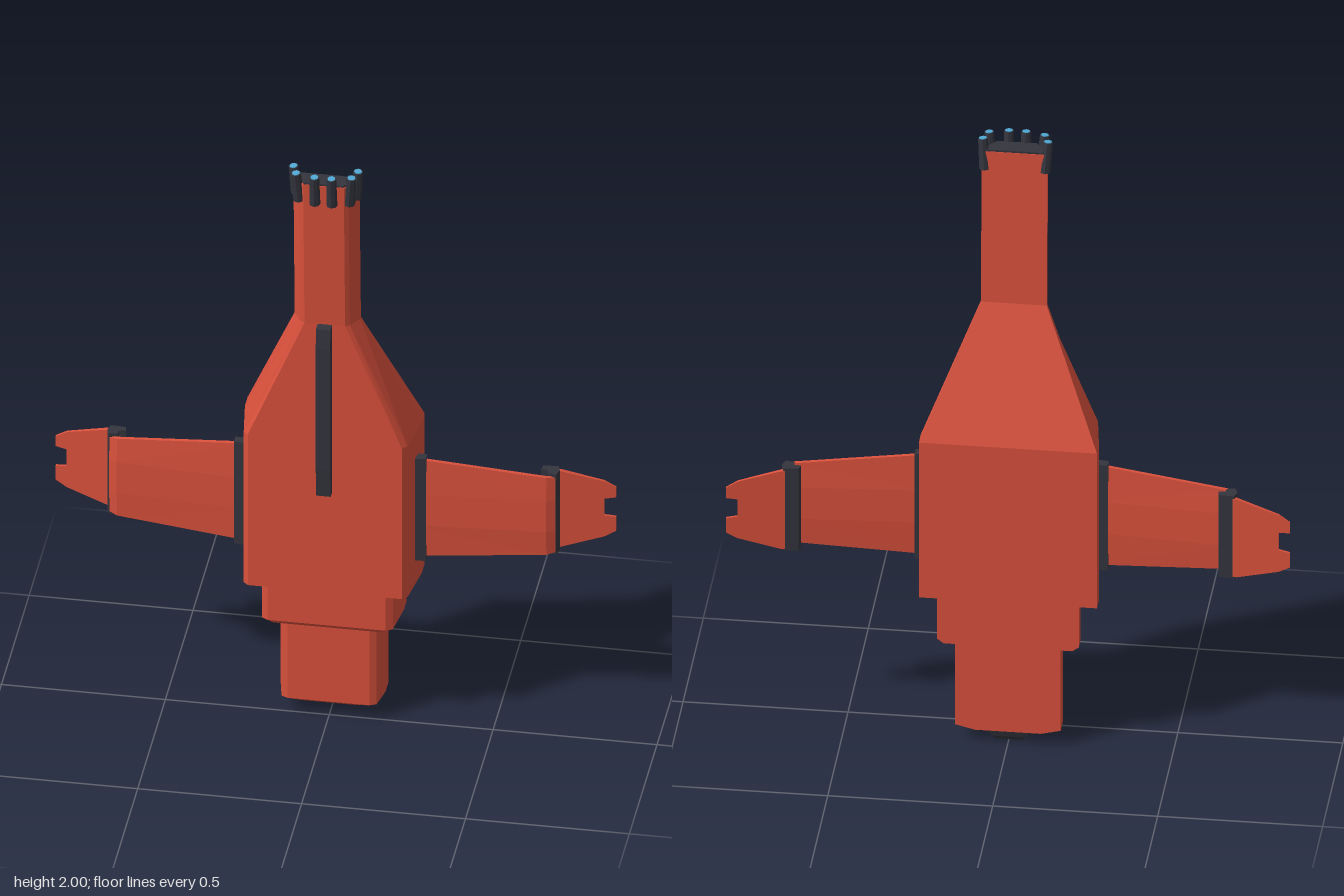
import * as THREE from 'three';

const paint = (color) => new THREE.MeshStandardMaterial({ color, flatShading: true });
const red = paint(0xdb513c), dark = paint(0x34353e), blue = paint(0x4fa8d4);

// Skin a row of convex rings (clockwise seen from the far end) and cap both ends.
function loft(rings) {
  const pos = [], n = rings[0].length;
  const tri = (a, b, c) => pos.push(...a, ...b, ...c);
  for (let r = 0; r < rings.length - 1; r++) {
    const A = rings[r], B = rings[r + 1];
    for (let i = 0; i < n; i++) {
      const j = (i + 1) % n;
      tri(A[i], B[i], A[j]);
      tri(A[j], B[i], B[j]);
    }
  }
  const first = rings[0], last = rings[rings.length - 1];
  for (let i = 1; i < n - 1; i++) {
    tri(first[0], first[i], first[i + 1]);
    tri(last[0], last[i + 1], last[i]);
  }
  return finish(pos);
}

function finish(pos) {
  const g = new THREE.BufferGeometry();
  g.setAttribute('position', new THREE.Float32BufferAttribute(pos, 3));
  g.computeVertexNormals();
  return g;
}

// Horizontal ring from its +x half, listed back to front as [x, z].
const ring = (y, half) => [
  ...half.map(([x, z]) => [x, y, z]),
  ...half.slice().reverse().map(([x, z]) => [-x, y, z]),
];

// Copy of a geometry mirrored in x, with its winding turned back outwards.
function mirrored(geometry) {
  const g = geometry.index ? geometry.toNonIndexed() : geometry;
  const p = g.attributes.position, out = [];
  for (let i = 0; i < p.count; i += 3)
    for (const k of [i, i + 2, i + 1]) out.push(-p.getX(k), p.getY(k), p.getZ(k));
  return finish(out);
}

function outline(points) {
  return new THREE.Shape(points.map(([x, y]) => new THREE.Vector2(x, y)));
}

export function createModel() {
  const model = new THREE.Group();
  model.name = 'spacecraft';
  const add = (name, geometry, material, parent = model) => {
    const mesh = new THREE.Mesh(geometry, material);
    mesh.name = name;
    parent.add(mesh);
    return mesh;
  };
  const pair = (name, geometry, material) => {
    add('left' + name, geometry, material);
    add('right' + name, mirrored(geometry), material);
  };

  // Main hull, tapering into the forward leaning neck
  const hull = [[0.27, -0.125], [0.27, -0.075], [0.25, 0.065], [0.235, 0.08]];
  add('hull', loft([
    ring(0.49, hull),
    ring(1.03, hull),
    ring(1.45, [[0.1, 0.02], [0.1, 0.032], [0.075, 0.072], [0.062, 0.08]]),
    ring(1.96, [[0.1, 0.045], [0.1, 0.055], [0.075, 0.096], [0.062, 0.104]]),
  ]), red);
  add('neckCap', loft([
    ring(1.96, [[0.095, 0.047], [0.095, 0.056], [0.06, 0.102]]),
    ring(1.966, [[0.095, 0.047], [0.095, 0.056], [0.06, 0.102]]),
  ]), dark);

  // Two stepped tail sections
  add('upperTail', loft([
    ring(0.335, [[0.195, -0.125], [0.195, -0.08], [0.185, 0.02], [0.165, 0.035]]),
    ring(0.35, [[0.215, -0.125], [0.215, -0.08], [0.2, 0.035], [0.18, 0.047]]),
    ring(0.5, [[0.215, -0.125], [0.215, -0.08], [0.2, 0.035], [0.18, 0.047]]),
  ]), red);
  const tail = [[0.16, -0.125], [0.16, -0.07], [0.145, 0.004], [0.125, 0.013]];
  add('lowerTail', loft([
    ring(0.04, [[0.1, -0.125], [0.1, -0.07], [0.095, -0.01], [0.085, -0.005]]),
    ring(0.055, tail),
    ring(0.345, tail),
  ]), red);
  add('tailNozzle', loft([
    ring(0, [[0.04, -0.1], [0.04, -0.065]]),
    ring(0.015, [[0.05, -0.11], [0.05, -0.05]]),
    ring(0.055, [[0.085, -0.122], [0.085, -0.03]]),
  ]), dark);

  // Dorsal fin along the front face
  const finShape = outline([[0.07, 0.85], [0.105, 0.85], [0.115, 0.95], [0.115, 1.38],
    [0.11, 1.45], [0.07, 1.45]]);
  const fin = new THREE.ExtrudeGeometry(finShape, { depth: 0.044, bevelEnabled: false });
  fin.rotateY(-Math.PI / 2).translate(0.022, 0, 0);
  add('dorsalFin', fin, dark);

  // Inner wings: thin plates with a raised band along the front
  const wingRing = (x, bottom, top, z, t) => [
    [x, top, z + t * 0.5], [x, top, z - t * 0.5],
    [x, 0.81, z - t], [x, 0.7, z - t],
    [x, bottom, z - t * 0.5], [x, bottom, z + t * 0.5],
    [x, 0.7, z + t], [x, 0.81, z + t],
  ];
  pair('InnerWing', loft([
    wingRing(0.24, 0.585, 0.935, -0.022, 0.012),
    wingRing(0.655, 0.615, 0.89, -0.05, 0.012),
    wingRing(0.68, 0.62, 0.885, -0.062, 0.012),
  ]), red);

  // Dark wing roots and joints, upright prisms drawn in plan
  const upright = (plan, bottom, top) => {
    const g = new THREE.ExtrudeGeometry(outline(plan.map(([x, z]) => [x, -z])),
      { depth: top - bottom, bevelEnabled: false });
    return g.rotateX(-Math.PI / 2).translate(0, bottom, 0);
  };
  pair('WingRoot', upright([[0.24, -0.038], [0.293, -0.04], [0.293, -0.012], [0.24, -0.006]],
    0.575, 0.94), dark);
  pair('WingJoint', upright([[0.633, -0.08], [0.637, -0.1], [0.683, -0.104], [0.69, -0.08],
    [0.682, -0.056], [0.655, -0.062], [0.655, -0.078]], 0.612, 0.898), dark);

  // Outer wings: notched tips, swept back by shearing z along x
  const tip = new THREE.ExtrudeGeometry(outline([
    [0.65, 0.62], [0.69, 0.617], [0.82, 0.655], [0.855, 0.675], [0.855, 0.725], [0.82, 0.73],
    [0.82, 0.79], [0.855, 0.795], [0.855, 0.83], [0.82, 0.852], [0.69, 0.888], [0.65, 0.89],
  ]), { depth: 0.014, bevelEnabled: false });
  const p = tip.attributes.position;
  for (let i = 0; i < p.count; i++) {
    const s = (p.getX(i) - 0.65) / 0.205;
    p.setZ(i, -0.1 - 0.026 * s + p.getZ(i) * (1 - 0.45 * s));
  }
  tip.computeVertexNormals();
  pair('OuterWing', tip, red);

  // Six small barrels round the end of the neck, with glowing tips
  for (const side of [-1, 1]) {
    for (const [x, z, lean] of [[0.097, 0.06, 0.07], [0.083, 0.099, 0.07], [0.028, 0.114, 0]]) {
      const barrel = new THREE.Group();
      barrel.name = 'barrel';
      add('barrelBody', new THREE.CylinderGeometry(0.015, 0.017, 0.1, 8), dark, barrel);
      add('barrelTip', new THREE.CylinderGeometry(0.012, 0.012, 0.004, 8), blue, barrel)
        .position.y = 0.05;
      barrel.position.set(side * (x - 0.002), 1.947, z - 0.003);
      barrel.rotation.set(0.1, 0, -side * lean);
      model.add(barrel);
    }
  }
  return model;
}
